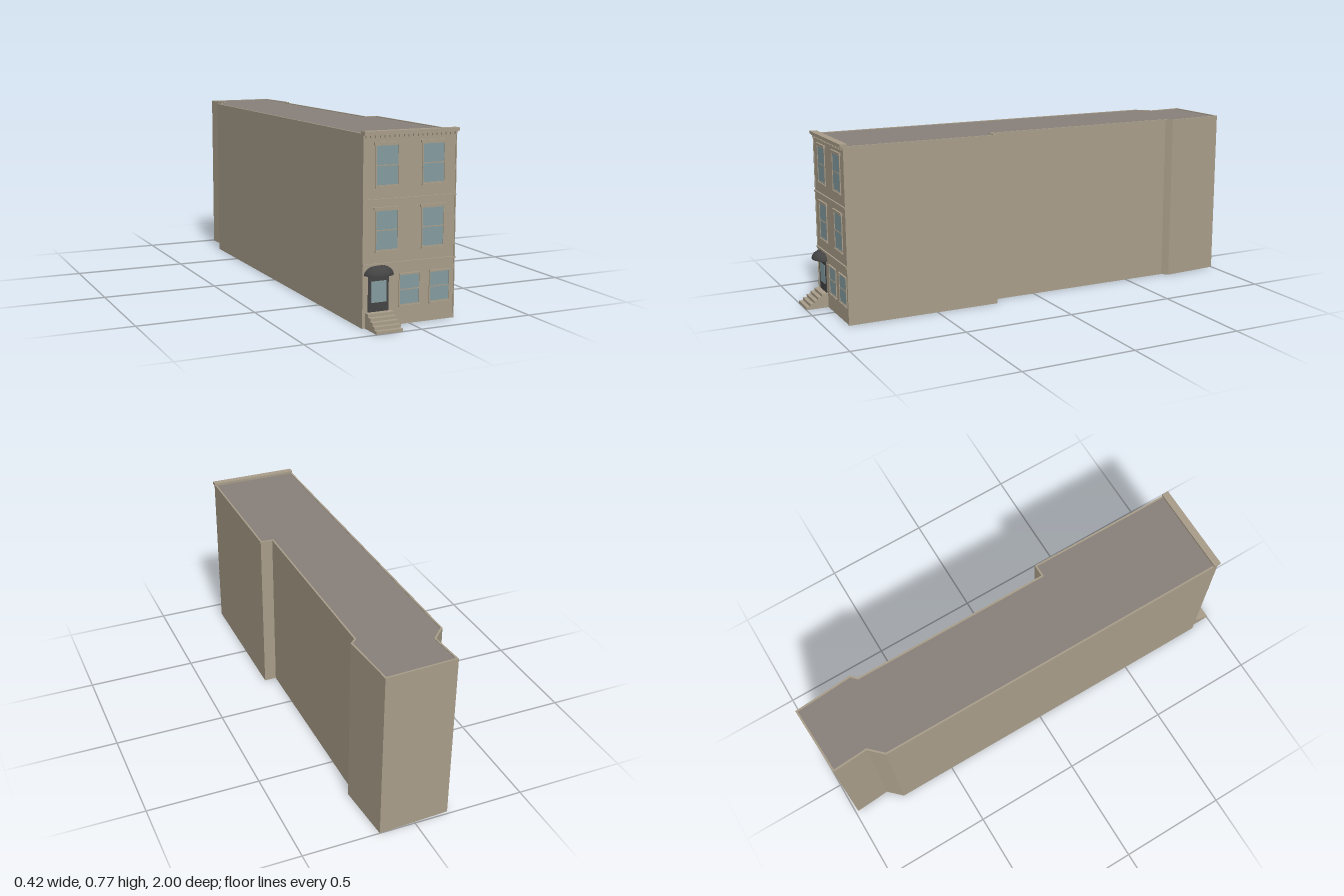
import * as THREE from 'three';

const stone = new THREE.MeshStandardMaterial({ color: 0xa89d89 });
const roofing = new THREE.MeshStandardMaterial({ color: 0x88817a });
const glass = new THREE.MeshStandardMaterial({ color: 0x849b9e });
const charcoal = new THREE.MeshStandardMaterial({ color: 0x434343 });
const canvas = new THREE.MeshStandardMaterial({ color: 0x434343, side: THREE.DoubleSide });
stone.name = 'stone';
roofing.name = 'roofing';
glass.name = 'glass';
charcoal.name = 'charcoal';
canvas.name = 'awning canvas';

const FRONT = 0.9;

// Footprint as (x, z), anticlockwise when seen from above
const footprint = [
  [-0.21, FRONT], [0.203, FRONT], [0.208, 0.212], [0.152, 0.212], [0.154, -0.704],
  [0.18, -0.728], [0.16, -1], [-0.156, -0.987], [-0.145, -0.825], [-0.204, -0.765],
].map(([x, z]) => new THREE.Vector2(x, -z));

// Moves every edge of an anticlockwise outline inward by d
function inset(points, d) {
  const n = points.length;
  return points.map((p, i) => {
    const a = p.clone().sub(points[(i + n - 1) % n]).normalize();
    const b = points[(i + 1) % n].clone().sub(p).normalize();
    const na = new THREE.Vector2(-a.y, a.x);
    const nb = new THREE.Vector2(-b.y, b.x);
    return p.clone().addScaledVector(na.clone().add(nb), d / (1 + na.dot(nb)));
  });
}

function add(parent, name, geometry, material) {
  const mesh = new THREE.Mesh(geometry, material);
  mesh.name = name;
  parent.add(mesh);
  return mesh;
}

// Box given by its limits on each axis
function box(parent, name, material, x0, x1, y0, y1, z0, z1) {
  const mesh = add(parent, name, new THREE.BoxGeometry(x1 - x0, y1 - y0, z1 - z0), material);
  mesh.position.set((x0 + x1) / 2, (y0 + y1) / 2, (z0 + z1) / 2);
  return mesh;
}

function upright(shape, height) {
  return new THREE.ExtrudeGeometry(shape, { depth: height, bevelEnabled: false }).rotateX(-Math.PI / 2);
}

// Sash window: glass, frame bars, sill and lintel
function sashWindow(name, cx, y0, y1, half, lintelOver, lintelH, sillOver) {
  const g = new THREE.Group();
  g.name = name;
  const x0 = cx - half, x1 = cx + half, bar = 0.004, mid = (y0 + y1) / 2;
  box(g, 'pane', glass, x0, x1, y0, y1, FRONT - 0.002, FRONT + 0.001);
  for (const x of [x0 - bar / 2, x1 - bar / 2]) {
    box(g, 'jamb', stone, x, x + bar, y0, y1, FRONT, FRONT + 0.004);
  }
  for (const y of [y0, mid - bar / 2, y1 - bar]) {
    box(g, 'sashRail', stone, x0, x1, y, y + bar, FRONT, FRONT + 0.003);
  }
  box(g, 'lintel', stone, x0 - lintelOver, x1 + lintelOver, y1, y1 + lintelH, FRONT, FRONT + 0.008);
  box(g, 'sill', stone, x0 - sillOver, x1 + sillOver, y0 - 0.006, y0, FRONT, FRONT + 0.008);
  return g;
}

export function createModel() {
  const model = new THREE.Group();
  model.name = 'rowHouse';

  // Walls with a low parapet, filled by the roof and floor slab
  const inner = inset(footprint, 0.008);
  const shell = new THREE.Shape(footprint);
  shell.holes.push(new THREE.Path(inner));
  add(model, 'walls', upright(shell, 0.76), stone);
  add(model, 'roof', upright(new THREE.Shape(inner), 0.757), roofing);

  // Corner strips and string courses
  box(model, 'cornerStrip', stone, -0.21, -0.206, 0, 0.755, FRONT, FRONT + 0.003);
  box(model, 'cornerStrip', stone, 0.199, 0.203, 0, 0.755, FRONT, FRONT + 0.003);
  for (const [y0, y1] of [[0.246, 0.254], [0.5, 0.507]]) {
    box(model, 'stringCourse', stone, -0.21, 0.203, y0, y1, FRONT, FRONT + 0.007);
  }

  // Cornice with dentils
  const cornice = new THREE.Group();
  cornice.name = 'cornice';
  box(cornice, 'corniceCap', stone, -0.211, 0.206, 0.758, 0.77, 0.885, 0.917);
  box(cornice, 'corniceBed', stone, -0.21, 0.204, 0.753, 0.758, 0.895, 0.911);
  for (let i = 0; i < 20; i++) {
    const x = -0.197 + i * 0.0207;
    box(cornice, 'dentil', stone, x - 0.0033, x + 0.0033, 0.743, 0.753, FRONT, FRONT + 0.008);
  }
  model.add(cornice);

  // Windows
  for (const cx of [-0.105, 0.1]) {
    model.add(sashWindow('topFloorWindow', cx, 0.556, 0.716, 0.049, 0.01, 0.011, 0.004));
    model.add(sashWindow('middleFloorWindow', cx, 0.303, 0.463, 0.049, 0.01, 0.011, 0.004));
  }
  for (const cx of [-0.002, 0.134]) {
    model.add(sashWindow('groundFloorWindow', cx, 0.077, 0.202, 0.045, 0.002, 0.004, 0.003));
  }

  // Front door
  const door = new THREE.Group();
  door.name = 'frontDoor';
  box(door, 'doorLeaf', charcoal, -0.185, -0.095, 0.063, 0.205, FRONT - 0.002, FRONT + 0.003);
  box(door, 'doorPane', glass, -0.172, -0.106, 0.1, 0.185, FRONT, FRONT + 0.005);
  model.add(door);

  // Quarter-dome awning
  const dome = new THREE.SphereGeometry(1, 24, 10, 0, Math.PI, 0, Math.PI / 2);
  const awning = add(model, 'awning', dome, canvas);
  awning.scale.set(0.063, 0.038, 0.048);
  awning.position.set(-0.1395, 0.21, FRONT);

  // Front steps, drawn in side profile and extruded across
  const count = 5, rise = 0.063 / count, run = 0.018;
  const profile = new THREE.Shape();
  profile.moveTo(FRONT, 0);
  profile.lineTo(1, 0);
  for (let i = 0; i < count; i++) {
    profile.lineTo(1 - i * run, (i + 1) * rise);
    profile.lineTo(i === count - 1 ? FRONT : 1 - (i + 1) * run, (i + 1) * rise);
  }
  const width = 0.114;
  const stairs = new THREE.ExtrudeGeometry(profile, { depth: width, bevelEnabled: false });
  stairs.rotateY(-Math.PI / 2);
  add(model, 'frontSteps', stairs, stone).position.x = -0.083;

  return model;
}
